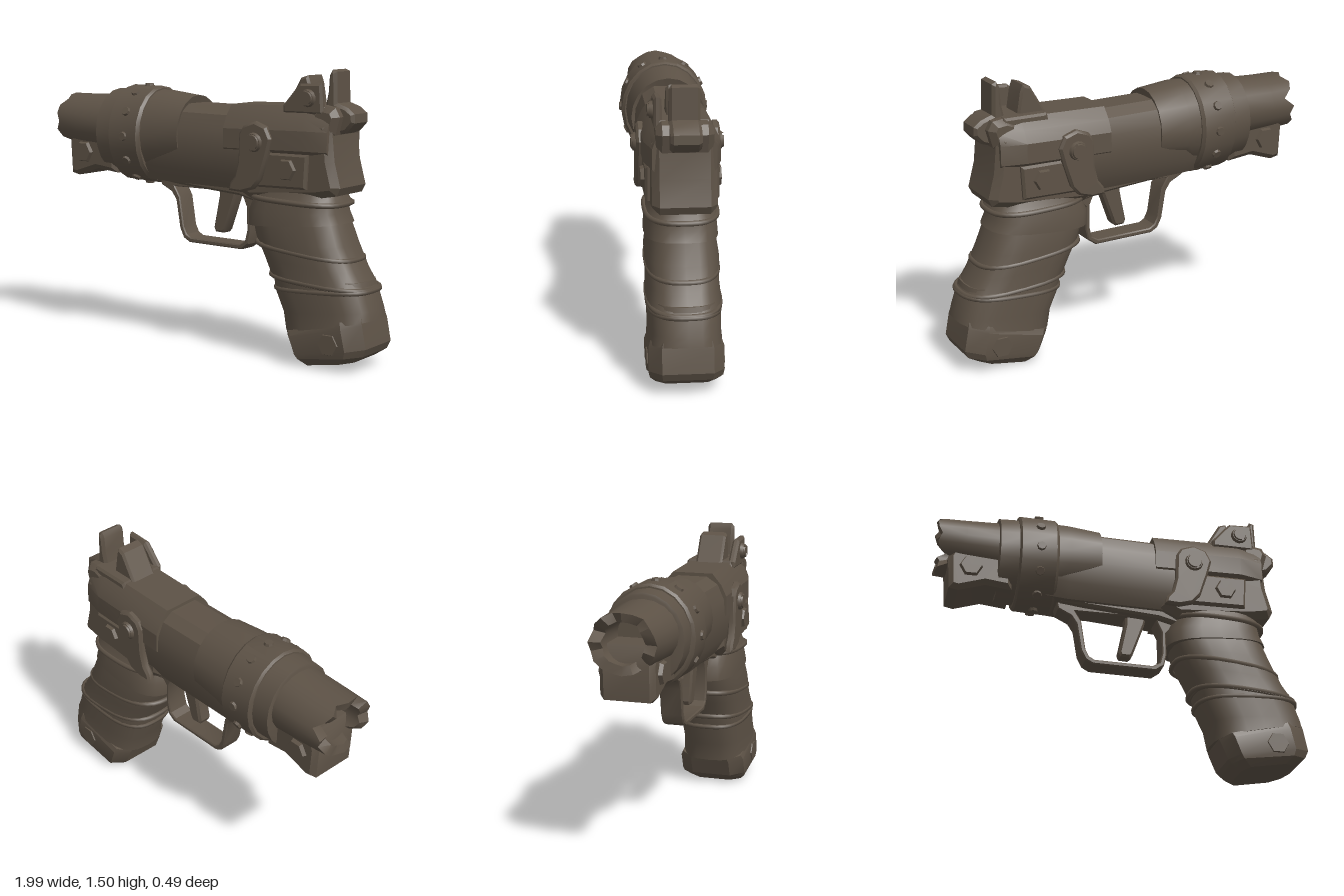
import * as THREE from 'three';
import { toCreasedNormals } from 'three/addons/utils/BufferGeometryUtils.js';

const metal = new THREE.MeshStandardMaterial({ color: 0x5d5246 });
metal.name = 'dark brown';

export function createModel() {
  const model = new THREE.Group();
  model.name = 'pistol';
  const V = (x, y, z) => new THREE.Vector3(x, y, z);

  function add(name, geometry, crease = 0.6) {
    const g = geometry.index ? geometry.toNonIndexed() : geometry;
    const mesh = new THREE.Mesh(toCreasedNormals(g, crease), metal);
    mesh.name = name;
    model.add(mesh);
    return mesh;
  }

  // Closed skin through rings of equal point count, capped at both ends
  function loft(name, rings, crease) {
    const tris = [];
    const n = rings[0].length;
    for (let i = 0; i < rings.length - 1; i++) {
      for (let j = 0; j < n; j++) {
        const k = (j + 1) % n, a = rings[i], b = rings[i + 1];
        tris.push([a[j], b[j], b[k]], [a[j], b[k], a[k]]);
      }
    }
    const centre = r => r.reduce((s, p) => s.add(p), V(0, 0, 0)).divideScalar(n);
    const first = rings[0], last = rings[rings.length - 1];
    const c0 = centre(first), c1 = centre(last);
    for (let j = 0; j < n; j++) {
      const k = (j + 1) % n;
      tris.push([c0, first[j], first[k]], [c1, last[k], last[j]]);
    }
    // Turn the skin outwards when its volume comes out negative
    const volume = tris.reduce((s, [a, b, c]) => s + a.dot(b.clone().cross(c)), 0);
    if (volume < 0) tris.forEach(t => t.reverse());
    const g = new THREE.BufferGeometry().setFromPoints(tris.flat());
    return add(name, g, crease);
  }

  // Oval ring across the barrel axis
  const oval = (x, cy, ry, rz, n = 20, jag = () => 0) =>
    Array.from({ length: n }, (_, i) => {
      const a = (i / n) * Math.PI * 2;
      return V(x + jag(i), cy + ry * Math.sin(a), rz * Math.cos(a));
    });

  // Ring across the barrel axis from half a profile of [z, y]
  const mirrored = (x, half, sz = 1, dy = 0) => [
    ...half.map(([z, y]) => V(x, y + dy, z * sz)),
    ...half.slice().reverse().map(([z, y]) => V(x, y + dy, -z * sz)),
  ];

  // Rounded ring spanned between a front and a rear point of the grip
  const gripRing = ([lx, ly, rx, ry, w], n = 24, power = 0.7) =>
    Array.from({ length: n }, (_, i) => {
      const a = (i / n) * Math.PI * 2, c = Math.cos(a), s = Math.sin(a);
      const u = 0.5 + 0.5 * Math.sign(c) * Math.abs(c) ** power;
      return V(lx + (rx - lx) * u, ly + (ry - ly) * u, w * Math.sign(s) * Math.abs(s) ** power);
    });

  // Flat plate cut from an outline, between two depths
  function plate(name, pts, z0, z1, bevel = 0.012, hole) {
    const shape = new THREE.Shape(pts.map(p => new THREE.Vector2(...p)));
    if (hole) shape.holes.push(new THREE.Path(hole.map(p => new THREE.Vector2(...p))));
    const g = new THREE.ExtrudeGeometry(shape, {
      depth: z1 - z0 - 2 * bevel, bevelEnabled: bevel > 0, bevelThickness: bevel,
      bevelSize: bevel, bevelOffset: -bevel, bevelSegments: 1,
    });
    g.translate(0, 0, z0 + bevel);
    return add(name, g, 0.5);
  }
  const bothSides = (name, pts, z0, z1, bevel) => {
    plate(name + 'Front', pts, z0, z1, bevel);
    plate(name + 'Back', pts, -z1, -z0, bevel);
  };

  // Bolt head facing along z; six sides for a hex, more for a round screw
  function bolt(name, x, y, z, r, depth, sides, side) {
    const g = new THREE.CylinderGeometry(r * 0.85, r, depth, sides);
    if (sides === 6) g.rotateY(Math.PI / 6);
    g.rotateX(side * Math.PI / 2);
    g.translate(x, y, side * (z + depth / 2));
    add(name, g, 0.5);
    if (sides > 6) { // raised halves leave a slot across the screw
      for (const s of [-1, 1]) {
        const half = new THREE.CylinderGeometry(r * 0.7, r * 0.78, 0.01, 10, 1, false, 0.2, Math.PI - 0.4);
        half.rotateY(s > 0 ? 0 : Math.PI);
        half.rotateX(side * Math.PI / 2);
        half.rotateZ(side * 0.5);
        half.translate(x, y, side * (z + depth + 0.004));
        add(name + 'Face', half, 0.5);
      }
    }
  }

  // Hollow barrel with a chipped muzzle
  const chips = [0.0, 0.02, 0, 0, 0.03, 0.01, 0, 0.03, 0, 0.02, 0.07, 0.01, 0.03, 0, 0, 0.01, 0, 0.01, 0.1, 0.02];
  const jag = i => chips[(i + 1) % 20];
  loft('barrel', [
    oval(-0.6, 1.16, 0.17, 0.185), oval(-0.85, 1.165, 0.155, 0.18),
    oval(-1, 1.17, 0.15, 0.17, 20, jag), oval(-0.99, 1.17, 0.105, 0.11, 20, jag),
    oval(-0.75, 1.17, 0.1, 0.105),
  ]);
  plate('barrelLug', [[-0.94, 1.06], [-0.93, 0.88], [-0.88, 0.87], [-0.74, 0.915], [-0.6, 0.9], [-0.6, 1.15], [-0.9, 1.15]], -0.14, 0.14, 0.025);

  // Sleeves and riveted clamp band
  loft('frontSleeve', [oval(-0.68, 1.13, 0.215, 0.19), oval(-0.675, 1.125, 0.232, 0.21), oval(-0.5, 1.125, 0.24, 0.215)]);
  loft('clampBand', [
    oval(-0.575, 1.12, 0.25, 0.22), oval(-0.565, 1.12, 0.262, 0.235),
    oval(-0.38, 1.115, 0.265, 0.235), oval(-0.365, 1.115, 0.255, 0.22),
  ]);
  const under = i => (i > 11 && i < 19 ? -0.16 : 0);
  loft('rearSleeve', [oval(-0.45, 1.12, 0.245, 0.215), oval(-0.3, 1.125, 0.235, 0.21, 20, i => under(i) / 4), oval(-0.13, 1.13, 0.21, 0.198, 20, under)]);
  for (let i = 0; i < 12; i++) {
    const a = ((i * 30) * Math.PI) / 180, s = Math.sin(a), c = Math.cos(a);
    const g = new THREE.CylinderGeometry(0.022, 0.028, 0.02, 8);
    const normal = V(0, s / 0.265, c / 0.235).normalize();
    g.applyQuaternion(new THREE.Quaternion().setFromUnitVectors(V(0, 1, 0), normal));
    g.translate(-0.465, 1.117 + 0.264 * s, 0.235 * c);
    add('bandRivet', g);
  }

  // Main body and rear slide
  const bodyHalf = [[0.08, 1.3], [0.14, 1.26], [0.175, 1.18], [0.182, 1.08], [0.165, 0.96], [0.12, 0.88]];
  loft('body', [mirrored(-0.42, bodyHalf, 1, 0.01), mirrored(-0.3, bodyHalf), mirrored(0.3, bodyHalf, 1, -0.01)], 0.5);
  plate('bodyUnderside', [[-0.33, 0.93], [-0.33, 0.88], [-0.2, 0.865], [0.2, 0.835], [0.34, 0.8], [0.34, 0.95]], -0.1, 0.1);
  const slideHalf = [[0.11, 1.31], [0.16, 1.25], [0.188, 1.19], [0.19, 1.09], [0.165, 1.07]];
  loft('slide', [mirrored(0.165, slideHalf), mirrored(0.64, slideHalf, 1, 0.008), mirrored(0.77, slideHalf, 0.83, 0.005)], 0.4);
  plate('rearFrame', [[0.2, 1.2], [0.2, 0.88], [0.3, 0.83], [0.7, 0.86], [0.81, 0.88], [0.83, 0.92], [0.795, 1.05], [0.775, 1.25], [0.6, 1.25]], -0.158, 0.158, 0.035);
  bothSides('sidePanel', [[0.32, 1.08], [0.32, 0.9], [0.66, 0.905], [0.67, 1.08]], 0.14, 0.182);

  // Takedown levers, their screws and the hex bolts
  const lever = [[0.275, 1.17], [0.3, 1.21], [0.37, 1.235], [0.44, 1.21], [0.47, 1.15], [0.445, 1.06], [0.405, 0.94],
    [0.36, 0.89], [0.29, 0.87], [0.21, 0.875], [0.22, 0.915], [0.25, 0.95], [0.27, 1.03]];
  bothSides('lever', lever, 0.165, 0.21);
  for (const side of [1, -1]) {
    bolt('leverScrew', 0.37, 1.13, 0.205, 0.052, 0.02, 14, side);
    bolt('frameBolt', 0.55, 1.0, 0.178, 0.06, 0.022, 6, side);
    bolt('lugBolt', -0.82, 1.005, 0.135, 0.064, 0.025, 6, side);
    bolt('baseBolt', 0.805, 0.14, 0.17, 0.066, 0.022, 6, side);
  }

  // Sight, hammer and collar
  plate('sightWedge', [[0.455, 1.28], [0.48, 1.32], [0.56, 1.455], [0.6, 1.468], [0.615, 1.43], [0.64, 1.28]], -0.075, 0.075);
  plate('sightPlate', [[0.5, 1.28], [0.5, 1.32], [0.57, 1.4], [0.6, 1.43], [0.725, 1.435], [0.735, 1.28]], 0.105, 0.145);
  plate('sightBase', [[0.48, 1.28], [0.5, 1.325], [0.73, 1.325], [0.75, 1.28]], -0.13, 0.13);
  bolt('sightScrew', 0.65, 1.36, 0.143, 0.046, 0.02, 14, 1);
  plate('hammer', [[0.69, 1.25], [0.72, 1.39], [0.725, 1.47], [0.742, 1.5], [0.767, 1.49], [0.772, 1.335], [0.83, 1.315],
    [0.87, 1.285], [0.872, 1.24], [0.83, 1.195], [0.77, 1.175]], -0.076, 0.076, 0.015);
  plate('hammerCollar', [[0.66, 1.16], [0.66, 1.3], [0.72, 1.325], [0.79, 1.315], [0.815, 1.27], [0.79, 1.18]], -0.14, 0.14, 0.03);

  // Trigger and guard
  plate('triggerGuard',
    [[-0.35, 0.89], [-0.34, 0.85], [-0.27, 0.815], [-0.24, 0.77], [-0.215, 0.62], [-0.19, 0.57], [-0.15, 0.548], [0.19, 0.543],
      [0.235, 0.575], [0.25, 0.64], [0.247, 0.76], [0.3, 0.82], [0.3, 0.89]],
    -0.06, 0.06, 0.006,
    [[-0.25, 0.845], [-0.215, 0.79], [-0.19, 0.63], [-0.17, 0.59], [-0.14, 0.573], [0.175, 0.568], [0.212, 0.59], [0.226, 0.645], [0.224, 0.77], [0.19, 0.845]]);
  plate('trigger', [[0.03, 0.88], [0.03, 0.81], [-0.005, 0.64], [0.005, 0.618], [0.055, 0.615], [0.07, 0.63], [0.135, 0.81], [0.15, 0.88]], -0.04, 0.04);

  // Wrapped grip: each wrap flares, then steps in under the next
  const wraps = [
    [[0.3, 0.94, 0.74, 0.93, 0.14], [0.28, 0.86, 0.77, 0.86, 0.165], [0.275, 0.83, 0.785, 0.83, 0.182]],
    [[0.285, 0.85, 0.765, 0.84, 0.165], [0.25, 0.77, 0.775, 0.78, 0.18], [0.25, 0.69, 0.8, 0.73, 0.184]],
    [[0.275, 0.72, 0.785, 0.74, 0.17], [0.3, 0.64, 0.83, 0.62, 0.185], [0.35, 0.54, 0.89, 0.5, 0.18], [0.4, 0.44, 0.955, 0.4, 0.188]],
    [[0.4, 0.48, 0.93, 0.45, 0.175], [0.42, 0.37, 0.955, 0.38, 0.182], [0.47, 0.26, 0.98, 0.31, 0.18], [0.49, 0.16, 0.99, 0.265, 0.186]],
  ];
  wraps.forEach(w => loft('gripWrap', w.map(r => gripRing(r)), 0.9));
  const cords = [[0.275, 0.845, 0.785, 0.825, 0.178], [0.3, 0.61, 0.86, 0.55, 0.175], [0.39, 0.45, 0.95, 0.41, 0.178], [0.42, 0.38, 0.955, 0.405, 0.174]];
  cords.forEach(r => {
    const path = new THREE.CatmullRomCurve3(gripRing(r), true);
    add('gripCord', new THREE.TubeGeometry(path, 48, 0.014, 6, true), 1.2);
  });

  // Chamfered grip base
  const baseRing = ([lx, ly, rx, ry, w]) =>
    [[0, -0.6], [0.12, -1], [0.8, -1], [1, -0.68], [1, 0.68], [0.8, 1], [0.12, 1], [0, 0.6]]
      .map(([u, v]) => V(lx + (rx - lx) * u, ly + (ry - ly) * u, v * w));
  loft('gripBase', [
    [0.51, 0.165, 0.955, 0.285, 0.175], [0.52, 0.14, 0.965, 0.25, 0.186],
    [0.555, 0.055, 0.988, 0.13, 0.186], [0.575, 0.035, 0.97, 0.09, 0.18], [0.63, 0.003, 0.91, 0.05, 0.15],
  ].map(baseRing), 0.35);

  return model;
}
